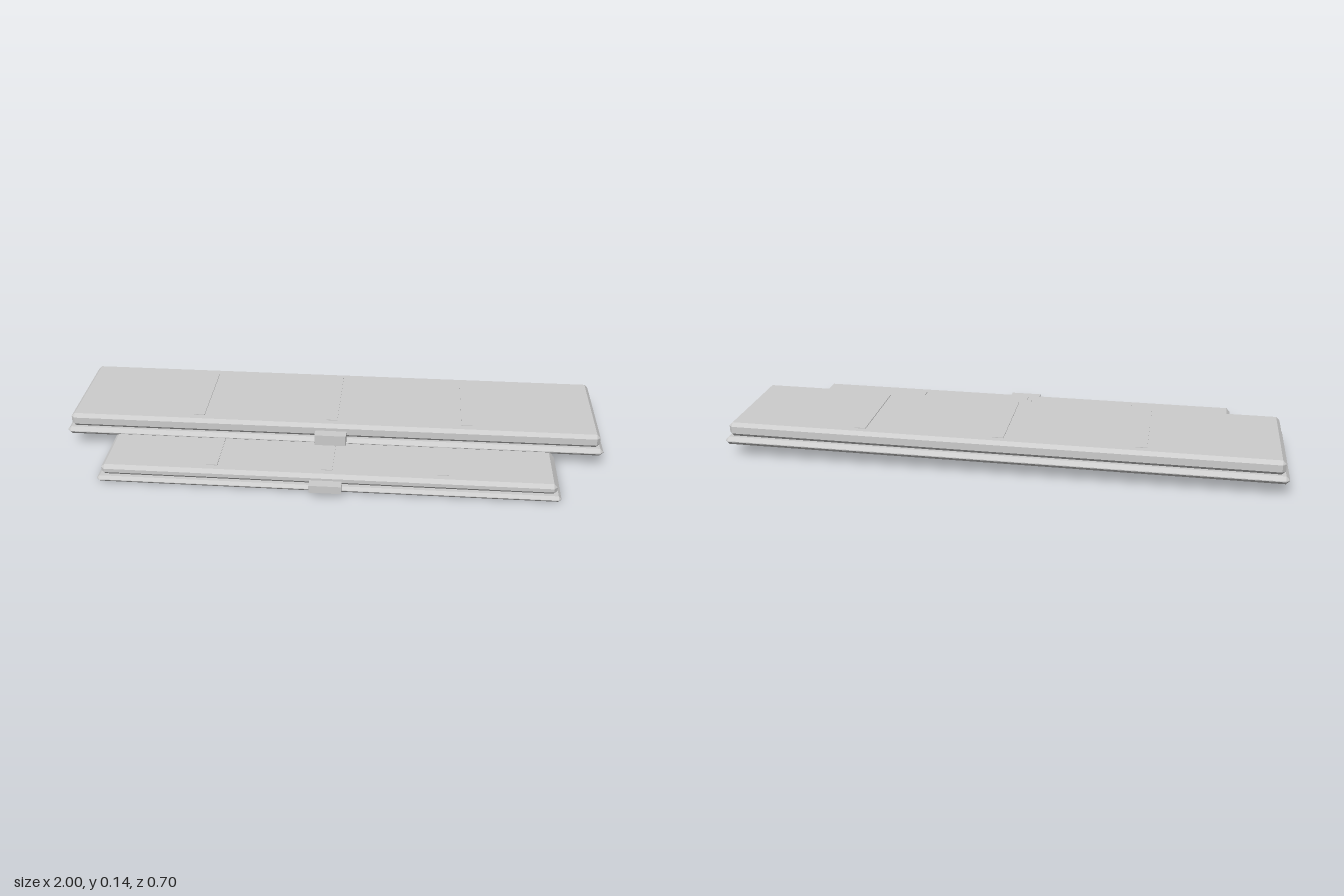
import * as THREE from 'three';
import { ConvexGeometry } from 'three/addons/geometries/ConvexGeometry.js';

const grey = new THREE.MeshStandardMaterial({ color: 0xcccccc });
grey.name = 'light grey';

// Box with every edge and corner cut by a flat bevel
function bevelledBox(w, h, d, b) {
  const [x, y, z] = [w / 2, h / 2, d / 2];
  const points = [];
  for (const i of [-1, 1]) for (const j of [-1, 1]) for (const k of [-1, 1]) {
    points.push(
      new THREE.Vector3(i * x, j * (y - b), k * (z - b)),
      new THREE.Vector3(i * (x - b), j * y, k * (z - b)),
      new THREE.Vector3(i * (x - b), j * (y - b), k * z)
    );
  }
  return new ConvexGeometry(points);
}

// Places a part by its y range and z range
function addPart(group, name, w, [y0, y1], [z0, z1], bevel = 0, x = 0) {
  const h = y1 - y0, d = z1 - z0;
  const geometry = bevel ? bevelledBox(w, h, d, bevel) : new THREE.BoxGeometry(w, h, d);
  const mesh = new THREE.Mesh(geometry, grey);
  mesh.name = name;
  mesh.position.set(x, (y0 + y1) / 2, (z0 + z1) / 2);
  group.add(mesh);
}

// One tier: base plate, body, three raised seams and a front block
function makeTier(name, t) {
  const tier = new THREE.Group();
  tier.name = name;
  addPart(tier, 'basePlate', t.width, t.baseY, t.baseZ, t.baseBevel);
  addPart(tier, 'body', t.width - 0.03, t.bodyY, t.bodyZ, 0.013);
  for (const i of [-1, 0, 1]) {
    addPart(tier, 'seam', 0.04, [t.bodyY[1] - 0.004, t.bodyY[1] + 0.0025], t.seamZ, 0, i * t.width / 4);
  }
  addPart(tier, 'frontBlock', 0.115, t.blockY, t.blockZ);
  return tier;
}

export function createModel() {
  const model = new THREE.Group();
  model.name = 'twoTierPlatform';
  model.add(
    makeTier('lowerTier', {
      width: 1.66, baseBevel: 0.0105,
      baseY: [0, 0.023], baseZ: [0.019, 0.317],
      bodyY: [0.023, 0.063], bodyZ: [0.032, 0.304],
      seamZ: [0.068, 0.268],
      blockY: [0.02, 0.049], blockZ: [0.315, 0.351],
    }),
    makeTier('upperTier', {
      width: 2, baseBevel: 0.013,
      baseY: [0.052, 0.081], baseZ: [-0.349, 0.084],
      bodyY: [0.081, 0.133], bodyZ: [-0.336, 0.072],
      seamZ: [-0.3, 0.035],
      blockY: [0.074, 0.115], blockZ: [0.082, 0.118],
    })
  );
  return model;
}
